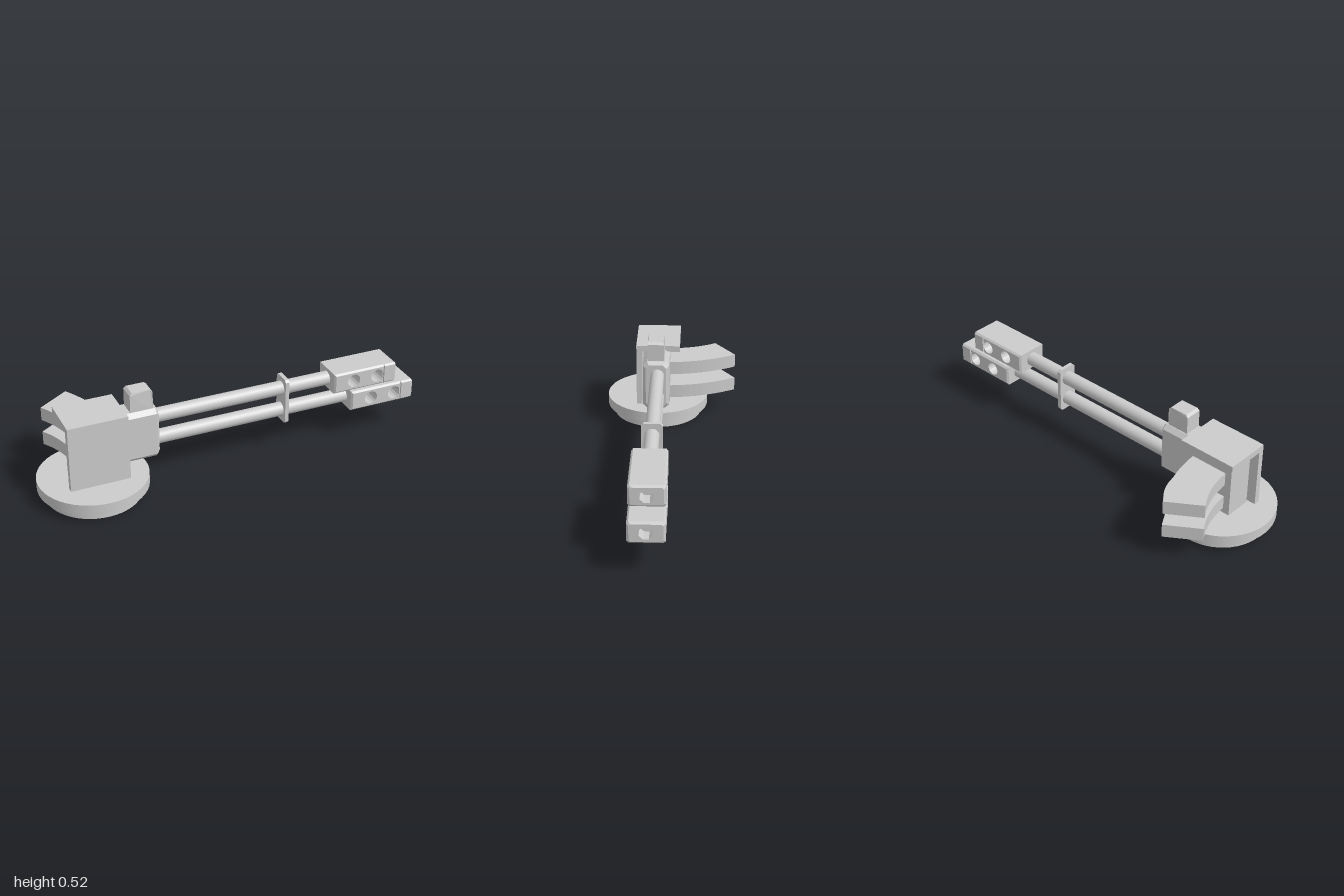
import * as THREE from 'three';

const AXIS_Z = 0.067; // depth of the barrel plane
const mat = new THREE.MeshStandardMaterial({ color: 0xcccccc });
const flat = new THREE.MeshStandardMaterial({ color: 0xcccccc, flatShading: true });

function add(parent, name, geo, x = 0, y = 0, z = 0, material = flat) {
  const mesh = new THREE.Mesh(geo, material);
  mesh.name = name;
  mesh.position.set(x, y, z);
  parent.add(mesh);
  return mesh;
}

// Box given by its limits on each axis
function block(parent, name, [x0, x1], [y0, y1], [z0, z1]) {
  return add(parent, name, new THREE.BoxGeometry(x1 - x0, y1 - y0, z1 - z0),
    (x0 + x1) / 2, (y0 + y1) / 2, (z0 + z1) / 2);
}

// Centred rectangle with cut corners
function cutRect(w, h, c) {
  const a = w / 2, b = h / 2;
  return new THREE.Shape([[-a + c, -b], [a - c, -b], [a, -b + c], [a, b - c],
    [a - c, b], [-a + c, b], [-a, b - c], [-a, -b + c]].map(p => new THREE.Vector2(...p)));
}

function roundHole(x, y, r, sides) {
  const pts = [];
  for (let i = 0; i < sides; i++) {
    const a = -(i + 0.5) / sides * Math.PI * 2;
    pts.push(new THREE.Vector2(x + r * Math.cos(a), y + r * Math.sin(a)));
  }
  return new THREE.Path(pts);
}

// Extrusion along +x whose far end tapers in by a small chamfer; the bore stays straight
function chamferedAlongX(shape, length, chamfer, w, h, boreRadius = 0) {
  const geo = new THREE.ExtrudeGeometry(shape, { depth: length, steps: 2, bevelEnabled: false });
  const p = geo.attributes.position;
  for (let i = 0; i < p.count; i++) {
    const t = p.getZ(i) / length;
    if (t > 0.25 && t < 0.75) p.setZ(i, length - chamfer);
    if (t > 0.75 && Math.hypot(p.getX(i), p.getY(i)) > boreRadius + 0.002) {
      p.setX(i, p.getX(i) * (1 - 2 * chamfer / w));
      p.setY(i, p.getY(i) * (1 - 2 * chamfer / h));
    }
  }
  geo.rotateY(Math.PI / 2);
  geo.computeVertexNormals();
  return geo;
}

// Muzzle brake: cross-drilled body plus a bored front end
function muzzleBrake(x0, x1, y, holes) {
  const g = new THREE.Group();
  g.name = 'muzzleBrake';
  const w = 0.172, h = 0.107, bevel = 0.009, split = x1 - 0.07;
  const a = x0 + bevel, b = split, top = h / 2 - bevel;
  const side = new THREE.Shape([[a, -top], [b - bevel, -top], [b - bevel, top], [a, top]]
    .map(p => new THREE.Vector2(...p)));
  // the bevel narrows each hole, so the outline is drawn larger
  holes.forEach(x => side.holes.push(roundHole(x, 0, 0.035, 16)));
  const core = new THREE.ExtrudeGeometry(side, { depth: w - 2 * bevel, bevelEnabled: true,
    bevelSegments: 1, bevelThickness: bevel, bevelSize: bevel });
  // keep the drilled holes straight
  const p = core.attributes.position;
  for (let i = 0; i < p.count; i++) for (const hx of holes) {
    const dx = p.getX(i) - hx, dy = p.getY(i), r = Math.hypot(dx, dy);
    if (r < 0.038) p.setXY(i, hx + dx / r * 0.035, dy / r * 0.035);
  }
  core.computeVertexNormals();
  add(g, 'drilledBody', core, 0, y, AXIS_Z - w / 2 + bevel);
  const end = cutRect(w, h, bevel);
  end.holes.push(roundHole(0, 0, 0.034, 8));
  add(g, 'boredEnd', chamferedAlongX(end, x1 - split, 0.01, w, h, 0.034), split, y, AXIS_Z);
  return g;
}

export function createModel() {
  const model = new THREE.Group();
  model.name = 'twinBarrelTurret';

  // Stepped round base
  add(model, 'lowerBase', new THREE.CylinderGeometry(0.238, 0.238, 0.046, 48), -0.727, 0.023, 0.075, mat);
  add(model, 'upperBase', new THREE.CylinderGeometry(0.273, 0.273, 0.054, 48), -0.727, 0.073, 0.075, mat);

  // Armour: front plate with a roof, sheltering a central pillar
  block(model, 'frontPlate', [-0.872, -0.572], [0.1, 0.44], [0.155, 0.185]);
  block(model, 'roofPlate', [-0.872, -0.572], [0.408, 0.44], [-0.048, 0.155]);
  block(model, 'pillar', [-0.832, -0.6], [0.1, 0.408], [0.005, 0.143]);

  // Receiver with chamfered edges and front
  const w = 0.138, h = 0.266;
  add(model, 'receiver', chamferedAlongX(cutRect(w, h, 0.022), 0.23, 0.015, w, h),
    -0.63, 0.284, 0.074);

  // Sight housing, narrowed at the top
  const sight = new THREE.ExtrudeGeometry(cutRect(0.115, 0.125, 0.012),
    { depth: 0.076, bevelEnabled: true, bevelSegments: 1, bevelSize: 0, bevelThickness: 0.006 });
  const sp = sight.attributes.position;
  for (let i = 0; i < sp.count; i++) {
    if (sp.getY(i) > 0.06) sp.setZ(i, 0.038 + (sp.getZ(i) - 0.038) * 0.92);
  }
  sight.computeVertexNormals();
  add(model, 'sight', sight, -0.482, 0.456, 0.037);

  // Barrels, staggered in length, each with its brake
  for (const [y, start, end, holes] of [
    [0.343, 0.535, 0.89, [0.645, 0.78]],
    [0.222, 0.637, 0.997, [0.75, 0.885]],
  ]) {
    const x0 = -0.42, x1 = start + 0.03;
    const tube = new THREE.CylinderGeometry(0.036, 0.036, x1 - x0, 24).rotateZ(Math.PI / 2);
    add(model, 'barrel', tube, (x0 + x1) / 2, y, AXIS_Z, mat);
    model.add(muzzleBrake(start, end, y, holes));
  }

  // Clamp joining the barrels
  const clamp = new THREE.ExtrudeGeometry(cutRect(0.104, 0.245, 0.012), { depth: 0.02, bevelEnabled: false });
  add(model, 'barrelClamp', clamp.rotateY(Math.PI / 2), 0.278, 0.282, AXIS_Z);

  // Two curved magazines sweeping out at the back (shape y is -z)
  const curve = new THREE.Shape();
  curve.moveTo(-0.603, -0.01);
  curve.quadraticCurveTo(-0.612, 0.18, -0.717, 0.347);
  curve.lineTo(-0.877, 0.24);
  curve.quadraticCurveTo(-0.803, 0.13, -0.797, -0.01);
  for (const y of [0.126, 0.263]) {
    const mag = new THREE.ExtrudeGeometry(curve, { depth: 0.071, bevelEnabled: false, curveSegments: 10 });
    add(model, 'magazine', mag.rotateX(-Math.PI / 2), 0, y, 0);
  }
  return model;
}
